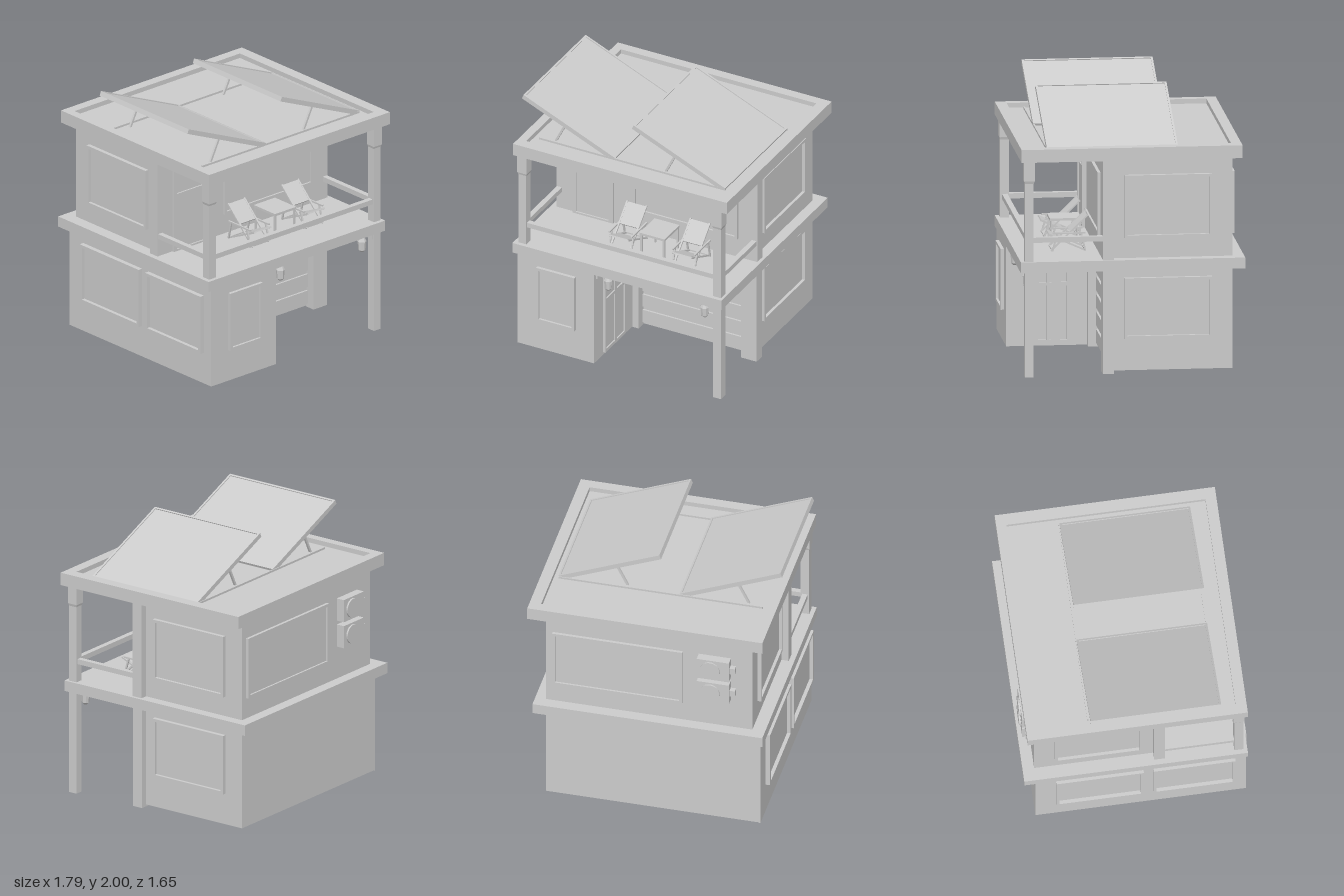
import * as THREE from 'three';

const mat = new THREE.MeshStandardMaterial({ color: 0xcccccc, flatShading: true, side: THREE.DoubleSide });

function add(parent, name, geometry, x = 0, y = 0, z = 0) {
  const m = new THREE.Mesh(geometry, mat);
  m.name = name;
  m.position.set(x, y, z);
  parent.add(m);
  return m;
}

// Box given by its minimum and maximum on each axis
function box(parent, name, x0, x1, y0, y1, z0, z1) {
  return add(parent, name, new THREE.BoxGeometry(x1 - x0, y1 - y0, z1 - z0),
    (x0 + x1) / 2, (y0 + y1) / 2, (z0 + z1) / 2);
}

// Square bar between two points
function bar(parent, name, a, b, t = 0.012) {
  const p = new THREE.Vector3(...a), q = new THREE.Vector3(...b);
  const m = add(parent, name, new THREE.BoxGeometry(t, t, p.distanceTo(q)));
  m.position.copy(p).add(q).multiplyScalar(0.5);
  m.lookAt(q);
  return m;
}

// Flat plate with rectangular openings [x0, x1, y0, y1], extruded along +z
function plate(x0, x1, y0, y1, holes, depth) {
  const rect = (C, a, b, c, d) => {
    const p = new C();
    p.moveTo(a, c); p.lineTo(b, c); p.lineTo(b, d); p.lineTo(a, d); p.closePath();
    return p;
  };
  const s = rect(THREE.Shape, x0, x1, y0, y1);
  for (const [a, b, c, d] of holes) s.holes.push(rect(THREE.Path, a, b, c, d));
  return new THREE.ExtrudeGeometry(s, { depth, bevelEnabled: false });
}

// Framed opening on a wall; u runs to the right seen from outside
function opening(parent, name, [x, z, turn], u0, u1, y0, y1, depth, holes) {
  const g = new THREE.Group();
  g.name = name;
  g.position.set(x, 0, z);
  g.rotation.y = turn;
  const b = 0.022;
  add(g, 'frame', plate(u0, u1, y0, y1, holes || [[u0 + b, u1 - b, y0 + b, y1 - b]], depth));
  box(g, 'pane', u0 + 0.01, u1 - 0.01, y0 + 0.01, y1 - 0.01, -0.002, 0.008);
  parent.add(g);
}

function chair() {
  const g = new THREE.Group();
  g.name = 'deckChair';
  for (const s of [-1, 1]) {
    const x = s * 0.078, w = s * 0.09;
    bar(g, 'backRail', [x, 1.12, 0.28], [x, 0.86, 0.55]);
    bar(g, 'seatRail', [x, 0.98, 0.57], [x, 0.86, 0.3]);
    bar(g, 'rearLeg', [w, 0.99, 0.33], [w, 0.857, 0.3]);
    bar(g, 'frontLeg', [w, 0.99, 0.5], [w, 0.857, 0.54]);
    bar(g, 'armrest', [w, 0.99, 0.3], [w, 0.99, 0.54]);
  }
  bar(g, 'footBar', [-0.09, 0.865, 0.54], [0.09, 0.865, 0.54], 0.01);
  bar(g, 'rearBar', [-0.09, 0.865, 0.302], [0.09, 0.865, 0.302], 0.01);
  // Sling of back and seat
  const back = box(g, 'backrest', -0.074, 0.074, -0.075, 0.075, -0.006, 0.006);
  back.position.set(0, 1.055, 0.345);
  back.rotation.x = -0.8;
  back.scale.y = 1.15;
  const seat = box(g, 'seat', -0.074, 0.074, -0.005, 0.005, -0.085, 0.085);
  seat.position.set(0, 0.948, 0.49);
  seat.rotation.x = -0.42;
  return g;
}

// Wall lamp hanging from an arm that reaches towards +x
function lamp() {
  const g = new THREE.Group();
  g.name = 'wallLamp';
  box(g, 'arm', 0, 0.125, 0.75, 0.775, -0.018, 0.018);
  box(g, 'wallMount', 0, 0.012, 0.72, 0.775, -0.022, 0.022);
  add(g, 'hood', new THREE.CylinderGeometry(0.02, 0.034, 0.03, 8), 0.088, 0.738, 0);
  add(g, 'lantern', new THREE.CylinderGeometry(0.032, 0.027, 0.07, 8), 0.088, 0.69, 0);
  add(g, 'lanternTip', new THREE.CylinderGeometry(0.027, 0.014, 0.014, 8), 0.088, 0.648, 0);
  return g;
}

function solarPanel(x0, x1, y0, y1) {
  const g = new THREE.Group();
  g.name = 'solarPanel';
  const len = Math.hypot(x1 - x0, y1 - y0), w = 0.955, t = 0.035;
  const p = new THREE.Group();
  p.position.set((x0 + x1) / 2, (y0 + y1) / 2, 0.135);
  p.rotation.z = Math.atan2(y1 - y0, x1 - x0);
  box(p, 'panel', -len / 2 + 0.005, len / 2 - 0.005, -t / 2, t / 2 - 0.007, -w / 2 + 0.005, w / 2 - 0.005);
  const h = len / 2, v = w / 2, b = 0.015;
  add(p, 'panelFrame', plate(-h, h, -v, v, [[-h + b, h - b, -v + b, v - b]], t), 0, -t / 2, 0).rotation.x = -Math.PI / 2;
  p.children[1].position.y = -t / 2;
  g.add(p);
  // Struts below the raised end
  for (const z of [-0.3, 0.57]) bar(g, 'strut', [x0 + 0.335, 1.825, z], [x0 + 0.25, 1.655, z], 0.016);
  return g;
}

export function createModel() {
  const house = new THREE.Group();
  house.name = 'house';
  const H = Math.PI / 2;

  // Ground floor: thin walls, open below
  box(house, 'leftWall', -0.83, -0.82, 0.02, 0.78, -0.74, 0.8);
  box(house, 'rearWall', -0.82, 0.77, 0.025, 0.78, -0.74, -0.73);
  box(house, 'rightWall', 0.76, 0.77, 0.025, 0.78, -0.73, 0.14);
  box(house, 'frontWall', -0.82, -0.2, 0.02, 0.78, 0.79, 0.8);
  box(house, 'entryWall', -0.21, -0.2, 0.02, 0.78, 0.14, 0.79);
  box(house, 'garagePillarLeft', -0.2, -0.15, 0.015, 0.78, 0.13, 0.21);
  box(house, 'garagePillarRight', 0.69, 0.82, 0.01, 0.78, 0.13, 0.21);

  // Garage door of horizontal slats
  box(house, 'garageDoor', -0.16, 0.7, 0.02, 0.78, 0.125, 0.135);
  for (let i = 0; i < 6; i++) {
    const y = 0.04 + i * 0.13;
    box(house, 'garageSlat', -0.15, 0.69, y, Math.min(y + 0.102, 0.778), 0.13, 0.15);
  }

  // Balcony slab and upper room
  box(house, 'balconySlab', -0.865, 0.85, 0.775, 0.855, -0.825, 0.81);
  box(house, 'upperRoom', -0.77, 0.77, 0.855, 1.6, -0.74, 0.14);
  box(house, 'upperFrontWall', -0.825, 0.825, 0.855, 1.6, 0.13, 0.21);

  // Posts and railing
  box(house, 'groundPost', 0.768, 0.832, 0, 0.775, 0.715, 0.78);
  for (const s of [-1, 1]) {
    const x = s * 0.8;
    box(house, 'balconyPost', x - 0.032, x + 0.032, 0.855, 1.6, 0.715, 0.78);
    box(house, 'postCapital', x - 0.038, x + 0.038, 1.45, 1.6, 0.708, 0.787);
    add(house, 'capitalTaper', new THREE.CylinderGeometry(0.053, 0.045, 0.02, 4).rotateY(Math.PI / 4), x, 1.44, 0.7475);
    box(house, 'sideRail', x - 0.02, x + 0.02, 0.992, 1.03, 0.21, 0.715);
  }
  box(house, 'frontRail', -0.77, 0.77, 0.992, 1.03, 0.727, 0.767);

  // Windows and doors
  const back = [0, -0.74, Math.PI], right = [0.77, 0, H], upperFront = [0, 0.21, 0];
  opening(house, 'frontWindow', [0, 0.8, 0], -0.665, -0.35, 0.26, 0.71, 0.025);
  opening(house, 'balconyWindow', upperFront, -0.19, 0.67, 1.01, 1.47, 0.022);
  opening(house, 'rearWindow', back, -0.72, 0.25, 1.01, 1.47, 0.022);
  for (const y of [0.26, 1.005]) opening(house, 'rightWindow', right, -0.05, 0.59, y, y + 0.45 + (y > 1 ? 0.015 : 0), 0.03);
  opening(house, 'upperLeftWindow', [-0.77, 0, -H], -0.59, 0.05, 1.005, 1.47, 0.03);
  opening(house, 'lowerLeftRearWindow', [-0.83, 0, -H], -0.59, 0.05, 0.26, 0.71, 0.035);
  opening(house, 'lowerLeftFrontWindow', [-0.83, 0, -H], 0.12, 0.72, 0.26, 0.71, 0.035);
  opening(house, 'balconyDoor', upperFront, -0.68, -0.35, 0.856, 1.505, 0.02,
    [[-0.655, -0.385, 0.87, 1.29], [-0.655, -0.385, 1.305, 1.49]]);
  const panes = [];
  for (const [a, b] of [[-0.64, -0.51], [-0.485, -0.36]])
    for (const [c, d] of [[0.065, 0.465], [0.49, 0.67]]) panes.push([a, b, c, d]);
  opening(house, 'entryDoor', [-0.2, 0, H], -0.66, -0.34, 0.04, 0.69, 0.018, panes);

  // Roof with a raised rim
  box(house, 'roofDeck', -0.86, 0.895, 1.6, 1.66, -0.8, 0.81);
  add(house, 'roofRim', plate(-0.86, 0.895, -0.81, 0.8, [[-0.795, 0.81, -0.73, 0.725]], 0.035), 0, 1.66, 0).rotation.x = -H;
  for (const z of [-0.343, 0.607]) box(house, 'panelRail', -0.75, 0.775, 1.655, 1.675, z - 0.006, z + 0.006);
  house.add(solarPanel(-0.887, -0.135, 1.982, 1.662), solarPanel(0.017, 0.77, 1.982, 1.662));

  // Cooling units on the back wall
  for (const y of [1.1, 1.3]) {
    const g = new THREE.Group();
    g.name = 'coolingUnit';
    box(g, 'casing', -0.61, -0.37, y, y + 0.17, -0.805, -0.74);
    add(g, 'fanGuard', new THREE.CylinderGeometry(0.072, 0.072, 0.015, 24).rotateX(H), -0.47, y + 0.085, -0.81);
    box(g, 'pipeBox', -0.65, -0.61, y + 0.06, y + 0.11, -0.785, -0.745);
    house.add(g);
  }

  // Lamps on the entry wall and on the ground post
  const wallLamp = lamp(), postLamp = lamp();
  wallLamp.position.set(-0.2, 0, 0.747);
  postLamp.position.set(0.768, 0, 0.747);
  postLamp.rotation.y = Math.PI;
  house.add(wallLamp, postLamp);

  // Balcony furniture
  for (const x of [-0.125, 0.395]) {
    const c = chair();
    c.position.x = x;
    house.add(c);
  }
  box(house, 'tableTop', 0.03, 0.235, 1.03, 1.048, 0.3, 0.53);
  for (const x of [0.04, 0.225]) for (const z of [0.31, 0.52])
    box(house, 'tableLeg', x - 0.007, x + 0.007, 0.855, 1.03, z - 0.007, z + 0.007);

  return house;
}
